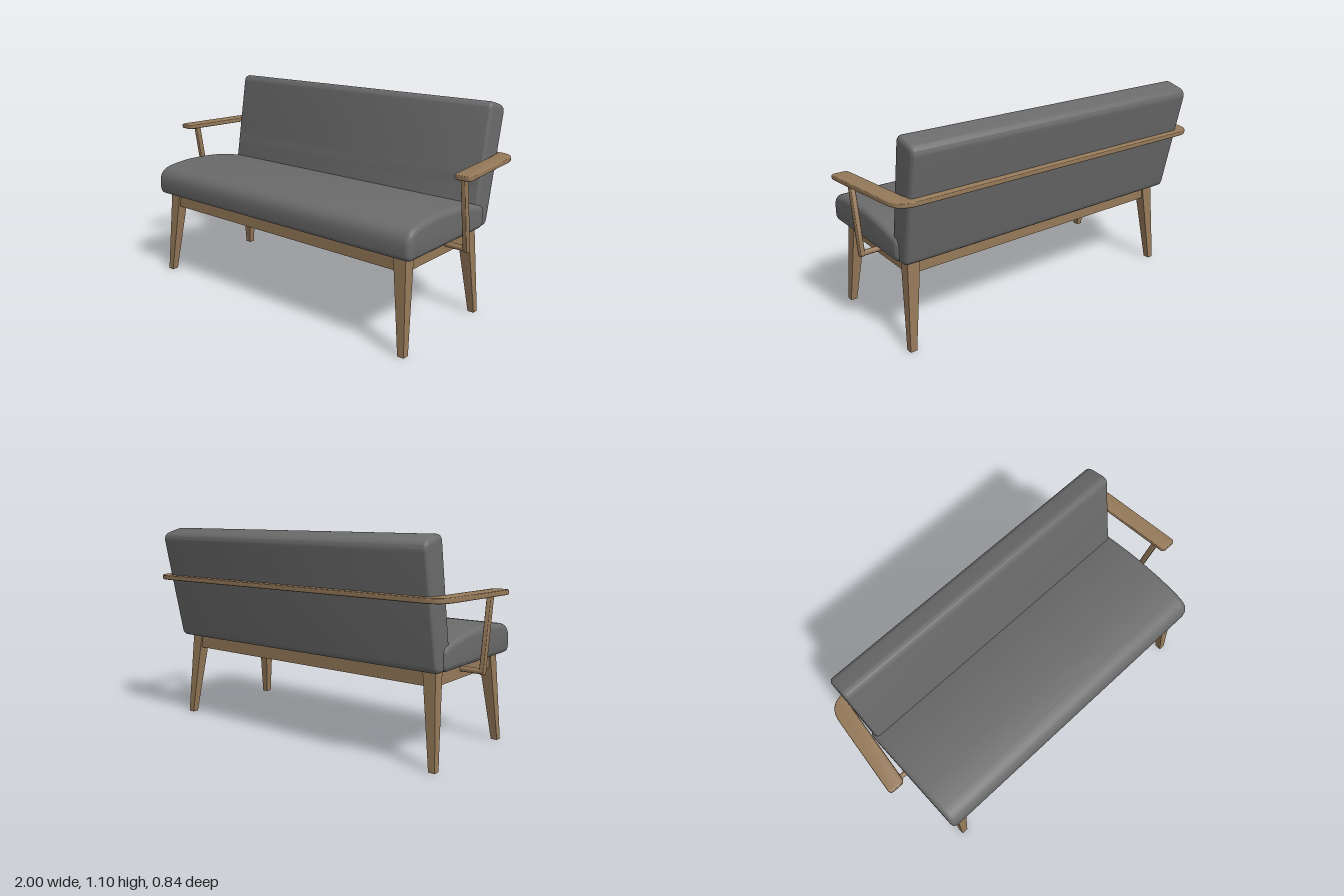
import * as THREE from 'three';
import { toCreasedNormals } from 'three/addons/utils/BufferGeometryUtils.js';

// Closed outline from [a, b, r] corners, each rounded over the distance r
function roundedShape(points) {
  const shape = new THREE.Shape();
  const n = points.length;
  points.forEach(([a, b, r], i) => {
    const corner = new THREE.Vector2(a, b);
    const toward = ([x, y]) => {
      const d = new THREE.Vector2(x, y).sub(corner);
      return d.setLength(Math.min(r, d.length() * 0.49)).add(corner);
    };
    const start = toward(points[(i + n - 1) % n]);
    const end = toward(points[(i + 1) % n]);
    if (i === 0) shape.moveTo(start.x, start.y);
    else shape.lineTo(start.x, start.y);
    shape.quadraticCurveTo(a, b, end.x, end.y);
  });
  shape.closePath();
  return shape;
}

// Soft-edged slab of full thickness, centred on its extrusion axis
function slab(points, thickness, bevel) {
  const geometry = new THREE.ExtrudeGeometry(roundedShape(points), {
    depth: thickness - 2 * bevel, curveSegments: 8,
    bevelEnabled: true, bevelThickness: bevel, bevelSize: bevel, bevelOffset: -bevel, bevelSegments: 5,
  });
  geometry.translate(0, 0, bevel - thickness / 2);
  return toCreasedNormals(geometry, 0.7);
}

// Outline given as [z, y], extruded across x
const acrossX = (points, width, bevel) => slab(points, width, bevel).rotateY(-Math.PI / 2);

// Four-sided leg running between a top and a bottom rectangle
function taperedLeg(top, bottom) {
  const geometry = new THREE.BoxGeometry(1, 1, 1);
  const p = geometry.attributes.position;
  for (let i = 0; i < p.count; i++) {
    const r = p.getY(i) > 0 ? top : bottom;
    p.setXYZ(i, r.x[p.getX(i) > 0 ? 1 : 0], r.y, r.z[p.getZ(i) > 0 ? 1 : 0]);
  }
  geometry.computeVertexNormals();
  return geometry;
}

export function createModel() {
  const model = new THREE.Group();
  model.name = 'bench';
  const wood = new THREE.MeshStandardMaterial({ name: 'wood', color: 0x957959 });
  const fabric = new THREE.MeshStandardMaterial({ name: 'grey fabric', color: 0x6b6b6b });

  const add = (name, geometry, material, x = 0, y = 0, z = 0) => {
    const mesh = new THREE.Mesh(geometry, material);
    mesh.name = name;
    mesh.position.set(x, y, z);
    model.add(mesh);
    return mesh;
  };

  // Upholstery
  add('seatCushion', acrossX([
    [0.42, 0.47, 0.04], [0.42, 0.617, 0.085], [0.24, 0.645, 0.1], [0.08, 0.642, 0.08],
    [-0.04, 0.632, 0.08], [-0.25, 0.59, 0.04], [-0.25, 0.47, 0.04],
  ], 1.755, 0.028), fabric);
  add('backrest', acrossX([
    [-0.3, 0.47, 0.035], [-0.425, 1.065, 0.045], [-0.275, 1.108, 0.045],
    [-0.205, 0.7, 0.1], [-0.165, 0.47, 0.035],
  ], 1.73, 0.022), fabric);

  // Apron frame and the panel under the seat
  for (const z of [0.333, -0.213]) {
    add('longApron', new THREE.BoxGeometry(1.58, 0.076, 0.052), wood, 0, 0.434, z);
  }
  for (const s of [-1, 1]) {
    add('sideApron', new THREE.BoxGeometry(0.052, 0.076, 0.5), wood, s * 0.792, 0.434, 0.06);
  }
  add('underPanel', new THREE.BoxGeometry(1.55, 0.02, 0.52), wood, 0, 0.462, 0.06);

  // Splayed legs
  const mirrored = (s, inner, outer) => (s > 0 ? [inner, outer] : [-outer, -inner]);
  for (const s of [-1, 1]) {
    for (const [name, topZ, bottomZ] of [
      ['frontLeg', [0.303, 0.368], [0.364, 0.4]],
      ['backLeg', [-0.246, -0.182], [-0.277, -0.242]],
    ]) {
      add(name, taperedLeg(
        { x: mirrored(s, 0.757, 0.826), y: 0.472, z: topZ },
        { x: mirrored(s, 0.818, 0.853), y: 0, z: bottomZ },
      ), wood);
    }
  }

  // One rail forms both armrests and wraps behind the backrest
  const rail = slab([
    [1.0, 0.14, 0.025], [0.945, -0.412, 0.1], [-0.945, -0.412, 0.1], [-1.0, 0.14, 0.025],
    [-0.91, 0.14, 0.025], [-0.862, -0.345, 0.03], [0.862, -0.345, 0.03], [0.91, 0.14, 0.025],
  ], 0.026, 0.008).rotateX(Math.PI / 2);
  add('armAndBackRail', rail, wood, 0, 0.817, 0);

  // Slanted arm posts with short bars into the frame
  const post = acrossX([
    [0.056, 0.812, 0.002], [0.087, 0.812, 0.002], [0.028, 0.423, 0.018], [-0.002, 0.428, 0.018],
  ], 0.027, 0.006);
  const bar = new THREE.CylinderGeometry(0.014, 0.014, 0.14, 16).rotateZ(Math.PI / 2);
  for (const s of [-1, 1]) {
    add('armPost', post, wood, s * 0.93, 0, 0);
    add('armPostBar', bar, wood, s * 0.868, 0.443, 0.013);
  }
  return model;
}
